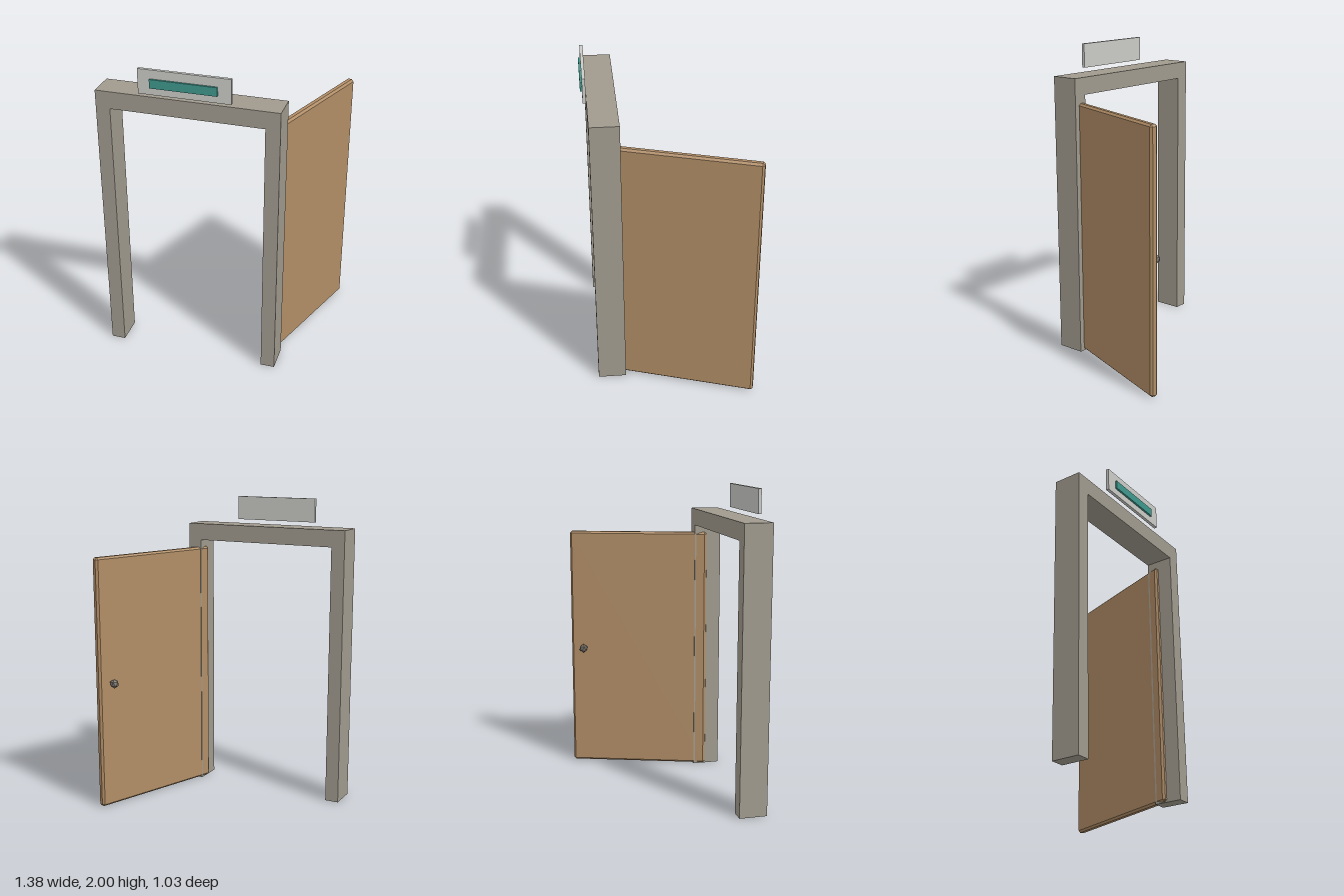
import * as THREE from 'three';
import { ConvexGeometry } from 'three/addons/geometries/ConvexGeometry.js';

function material(name, color) {
  const m = new THREE.MeshStandardMaterial({ color });
  m.name = name;
  return m;
}

// Box with every edge cut at 45 degrees
function chamferedBox(w, h, d, c) {
  const points = [];
  for (const x of [-1, 1]) for (const y of [-1, 1]) for (const z of [-1, 1]) {
    for (let axis = 0; axis < 3; axis++) {
      const inset = [c, c, c];
      inset[axis] = 0;
      points.push(new THREE.Vector3(x * (w / 2 - inset[0]), y * (h / 2 - inset[1]), z * (d / 2 - inset[2])));
    }
  }
  return new ConvexGeometry(points);
}

export function createModel() {
  const model = new THREE.Group();
  model.name = 'openDoorway';

  const stone = material('frameStone', 0xa09a8e);
  const wood = material('doorWood', 0xb08d66);
  const metal = material('knobMetal', 0x7a746c);
  const plate = material('signGrey', 0xcacac6);
  const teal = material('signTeal', 0x3f978c);

  const add = (name, geometry, mat, x = 0, y = 0, z = 0) => {
    const mesh = new THREE.Mesh(geometry, mat);
    mesh.name = name;
    mesh.position.set(x, y, z);
    model.add(mesh);
    return mesh;
  };

  // Door frame: two posts and a lintel as one outline
  const outline = [
    [-0.69, 0], [-0.6, 0], [-0.6, 1.71], [0.355, 1.71],
    [0.355, 0], [0.445, 0], [0.445, 1.82], [-0.69, 1.82],
  ].map(([x, y]) => new THREE.Vector2(x, y));
  add('doorFrame', new THREE.ExtrudeGeometry(new THREE.Shape(outline), { depth: 0.18, bevelEnabled: false }),
    stone, 0, 0, 0.3);

  // Door leaf, swung open towards the back
  const door = add('doorLeaf', chamferedBox(0.946, 1.655, 0.05, 0.013), wood, 0.511, 0.8325, -0.064);
  door.rotation.y = 1.237;

  // Faceted knob, one corner pointing up
  const knob = new THREE.IcosahedronGeometry(0.031, 0);
  knob.rotateZ(Math.atan(2 / (1 + Math.sqrt(5))));
  add('doorKnob', knob, metal, 0.58, 0.84, -0.447);

  // Sign above the lintel with its coloured panel
  add('signPlate', new THREE.BoxGeometry(0.565, 0.155, 0.02), plate, -0.1225, 1.9225, 0.493);
  add('signPanel', new THREE.BoxGeometry(0.41, 0.055, 0.014), teal, -0.125, 1.9175, 0.508);

  return model;
}
